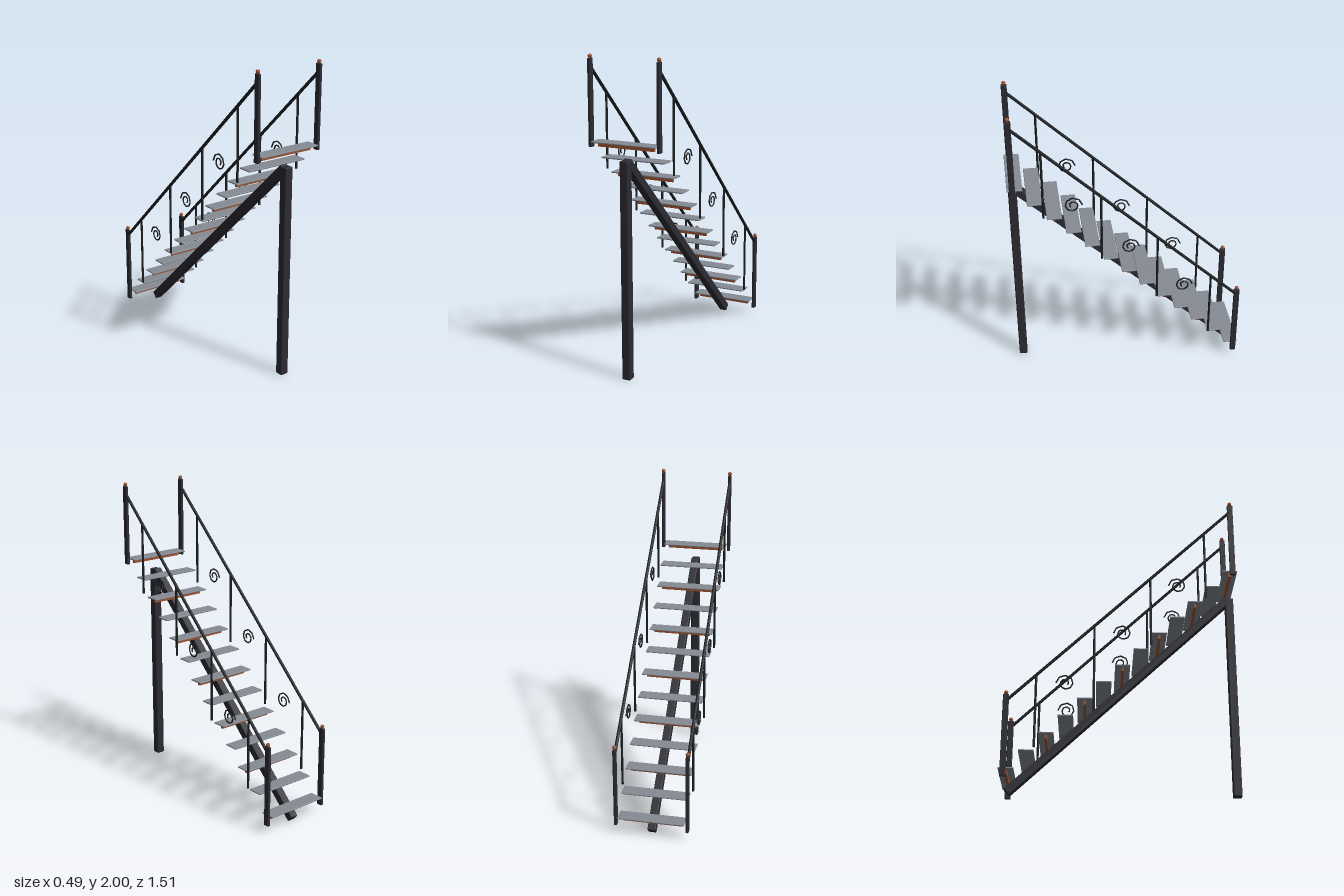
import * as THREE from 'three';
import { RoundedBoxGeometry } from 'three/addons/geometries/RoundedBoxGeometry.js';

const material = (name, color) => {
  const m = new THREE.MeshStandardMaterial({ color });
  m.name = name;
  return m;
};

export function createModel() {
  const steel = material('dark steel', 0x2b2b32);
  const iron = material('black iron', 0x1c1f21);
  const slate = material('grey tread', 0x868c94);
  const copper = material('copper', 0xa0522d);

  const staircase = new THREE.Group();
  staircase.name = 'staircase';

  function add(name, geometry, mat, x, y, z, parent = staircase) {
    const mesh = new THREE.Mesh(geometry, mat);
    mesh.name = name;
    mesh.position.set(x, y, z);
    parent.add(mesh);
    return mesh;
  }

  // Central support post and sloping spine beam
  add('supportPost', new RoundedBoxGeometry(0.055, 1.38, 0.055, 2, 0.007), steel, 0, 0.69, 0.718);
  const low = new THREE.Vector2(-0.712, 0.019), high = new THREE.Vector2(0.708, 1.369);
  const run = high.clone().sub(low);
  const spine = add('spineBeam', new RoundedBoxGeometry(0.052, 0.054, run.length(), 2, 0.006), steel,
    0, (low.y + high.y) / 2, (low.x + high.x) / 2);
  spine.rotation.x = -Math.atan2(run.y, run.x);

  // Treads, with a copper bracket under every second one
  const treadGeo = new RoundedBoxGeometry(0.43, 0.01, 0.096, 2, 0.004);
  const bracketGeo = new THREE.BoxGeometry(0.38, 0.026, 0.016);
  for (let i = 0; i < 13; i++) {
    const y = 0.109 + i * 0.1142, z = (i - 6) * 0.1178;
    add('tread', treadGeo, slate, 0, y, z);
    if (i % 2 === 0) add('treadBracket', bracketGeo, copper, 0, y - 0.018, z);
  }

  // Shared railing geometries
  const railY = z => 1.232 + 0.962 * z;
  const newelGeo = new RoundedBoxGeometry(0.019, 0.53, 0.037, 2, 0.003);
  const finialGeo = new THREE.SphereGeometry(0.013, 12, 8);
  const balusterGeo = new THREE.CylinderGeometry(0.0075, 0.0075, 0.475, 8);
  const railEnd = 0.722;
  const railGeo = new THREE.CylinderGeometry(0.01, 0.01,
    Math.hypot(2 * railEnd, 2 * railEnd * 0.962), 10);

  // Spiral scroll lying in the plane of the railing
  const points = [];
  for (let i = 0; i <= 13; i++) {
    const a = i * Math.PI / 4, r = 0.06 - 0.0034 * i;
    points.push(new THREE.Vector3(0, r * Math.sin(a), -r * Math.cos(a)));
  }
  const scroll = new THREE.CurvePath();
  for (let i = 0; i < 13; i++) scroll.add(new THREE.LineCurve3(points[i], points[i + 1]));
  const scrollGeo = new THREE.TubeGeometry(scroll, 39, 0.0048, 6, false);
  const scrollMat = iron;

  // Left and right railings
  for (const side of [1, -1]) {
    const railing = new THREE.Group();
    railing.name = side > 0 ? 'leftRailing' : 'rightRailing';
    railing.position.x = side * 0.23;
    staircase.add(railing);

    for (const [y, z] of [[0.315, -0.722], [1.71, 0.722]]) {
      add('newelPost', newelGeo, steel, 0, y, z, railing);
      add('newelFinial', finialGeo, copper, 0, y + 0.277, z, railing);
    }
    const rail = add('handrail', railGeo, iron, 0, railY(0), 0, railing);
    rail.rotation.x = Math.PI / 2 - Math.atan(0.962);

    for (const z of [-0.54, -0.18, 0.18, 0.54]) {
      add('baluster', balusterGeo, iron, 0, railY(z) - 0.2375, z, railing);
    }
    for (const z of [-0.357, 0, 0.357]) {
      add('scroll', scrollGeo, scrollMat, 0, 1.007 + 0.975 * z, z, railing);
    }
  }
  return staircase;
}
